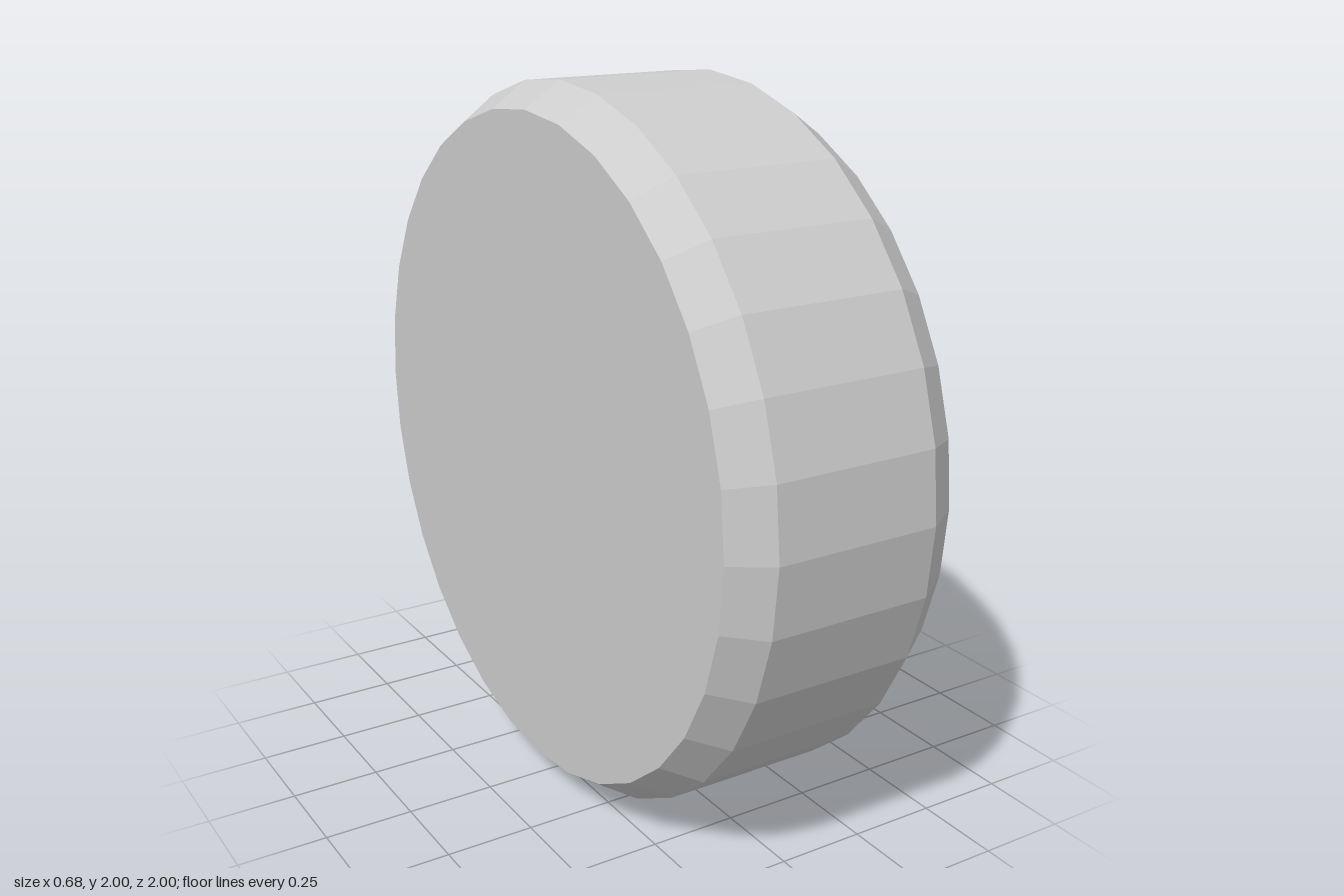
import * as THREE from 'three';

const SIDES = 32;
const HALF_WIDTH = 0.34;
const TREAD_HALF = 0.235;
const SIDE_RADIUS = 0.93;
const HUB_RADIUS = 0.62;
const HUB_X = 0.25;

export function createModel() {
  const grey = new THREE.MeshStandardMaterial({ color: 0xcccccc, flatShading: true });
  grey.name = 'light grey';

  const model = new THREE.Group();
  model.name = 'wheel';

  // Turns a [radius, x] profile around the x axis
  const turned = (name, profile) => {
    const points = profile.map(([r, x]) => new THREE.Vector2(r, x));
    const geometry = new THREE.LatheGeometry(points, SIDES);
    geometry.rotateZ(-Math.PI / 2);
    const mesh = new THREE.Mesh(geometry, grey);
    mesh.name = name;
    mesh.position.y = 1;
    model.add(mesh);
  };

  // Closed inner side
  turned('innerSide', [[0, -HALF_WIDTH], [SIDE_RADIUS, -HALF_WIDTH]]);

  // Tread with a chamfer on each shoulder
  turned('tread', [
    [SIDE_RADIUS, -HALF_WIDTH],
    [1, -TREAD_HALF],
    [1, TREAD_HALF],
    [SIDE_RADIUS, HALF_WIDTH],
  ]);

  // Outer sidewall ring and the wall of the hub recess
  turned('outerSidewall', [[SIDE_RADIUS, HALF_WIDTH], [HUB_RADIUS, HALF_WIDTH]]);
  turned('recessWall', [[HUB_RADIUS, HALF_WIDTH], [HUB_RADIUS, HUB_X]]);

  // Flat hub at the bottom of the recess
  turned('hub', [[HUB_RADIUS, HUB_X], [0, HUB_X]]);

  return model;
}
